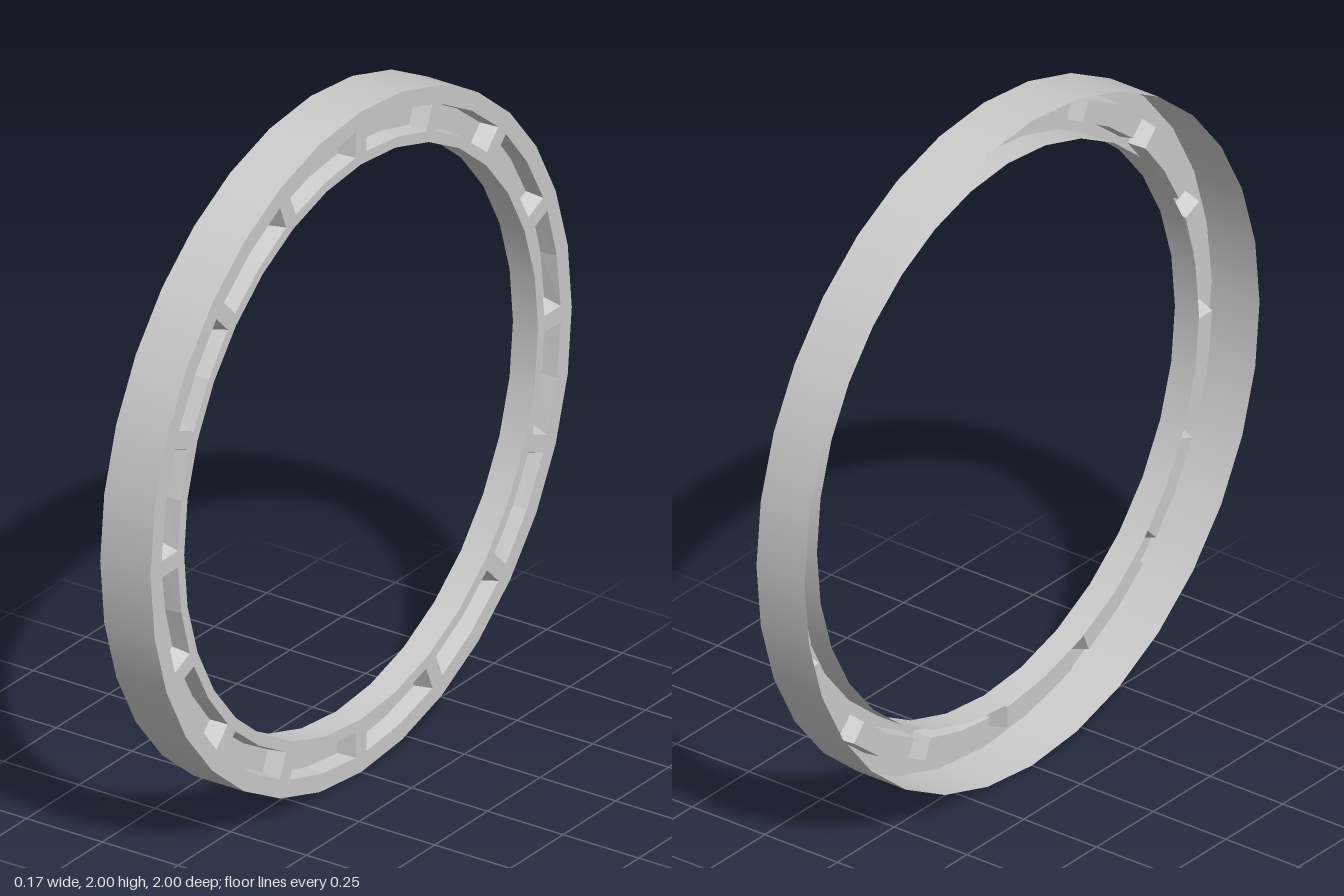
import * as THREE from 'three';

const SIDES = 32, POCKETS = 16;
const R_OUT = 1, R_IN = 0.84;
const FRONT = 0.083, FLOOR = 0.033, RIM_END = 0, BACK = -0.083;
const P_OUT = 0.947, P_IN = 0.87;

const material = new THREE.MeshStandardMaterial({ color: 0xcccccc, side: THREE.DoubleSide });

const polar = (r, a) => new THREE.Vector2(r * Math.cos(a), r * Math.sin(a));
const circle = (r) => Array.from({ length: SIDES }, (_, i) => polar(r, (i / SIDES) * Math.PI * 2));

// Six-corner pocket outline; margin is the half thickness of the rib at each end,
// draft narrows the long sides
function pocketLoop(index, margin, draft) {
  const step = (Math.PI * 2) / POCKETS;
  const a0 = index * step, a1 = a0 + step, mid = a0 + step / 2;
  const outer = P_OUT - draft, inner = P_IN + draft;
  const inset = (r) => Math.asin(margin / r);
  return [
    polar(outer, a0 + inset(outer)), polar(outer, mid), polar(outer, a1 - inset(outer)),
    polar(inner, a1 - inset(inner)), polar(inner, mid), polar(inner, a0 + inset(inner)),
  ];
}
const rimLoop = (index) => pocketLoop(index, 0.025, 0);
const floorLoop = (index) => pocketLoop(index, 0.04, 0.006);

// Shallow recess with sloping sides and a flat floor
function pocketGeometry(index) {
  const rim = rimLoop(index).map((p) => [p.x, p.y, FRONT]);
  const base = floorLoop(index).map((p) => [p.x, p.y, FLOOR]);
  const pos = [];
  const quad = (a, b, c, d) => pos.push(...a, ...b, ...c, ...a, ...c, ...d);
  for (let i = 0; i < 6; i++) {
    const j = (i + 1) % 6;
    quad(rim[i], rim[j], base[j], base[i]);
  }
  quad(base[0], base[1], base[4], base[5]);
  quad(base[1], base[2], base[3], base[4]);
  const g = new THREE.BufferGeometry();
  g.setAttribute('position', new THREE.Float32BufferAttribute(pos, 3));
  g.computeVertexNormals();
  return g;
}

// Open band around the ring axis (local z), corners matching the face polygon
function band(r, z0, z1) {
  const g = new THREE.CylinderGeometry(r, r, z1 - z0, SIDES, 1, true);
  g.rotateX(Math.PI / 2);
  g.translate(0, 0, (z0 + z1) / 2);
  return g;
}

export function createModel() {
  const model = new THREE.Group();
  model.name = 'ring';
  const ring = new THREE.Group();
  ring.name = 'ringBody';
  const add = (name, geometry) => {
    const mesh = new THREE.Mesh(geometry, material);
    mesh.name = name;
    ring.add(mesh);
  };

  // Outer rim over the full width, shorter inner rim
  add('outerRim', band(R_OUT, BACK, FRONT));
  add('innerRim', band(R_IN, RIM_END, FRONT));

  // Face plate with a hole for each pocket
  const face = new THREE.Shape(circle(R_OUT));
  face.holes.push(new THREE.Path(circle(R_IN)));
  for (let i = 0; i < POCKETS; i++) face.holes.push(new THREE.Path(rimLoop(i)));
  const plate = new THREE.ShapeGeometry(face);
  plate.translate(0, 0, FRONT);
  add('facePlate', plate);

  // Pockets between the ribs
  for (let i = 0; i < POCKETS; i++) add('pocket' + (i + 1), pocketGeometry(i));

  // Turn the axis to x and stand the ring on the ground
  ring.rotation.y = Math.PI / 2;
  ring.position.y = R_OUT;
  model.add(ring);
  return model;
}
